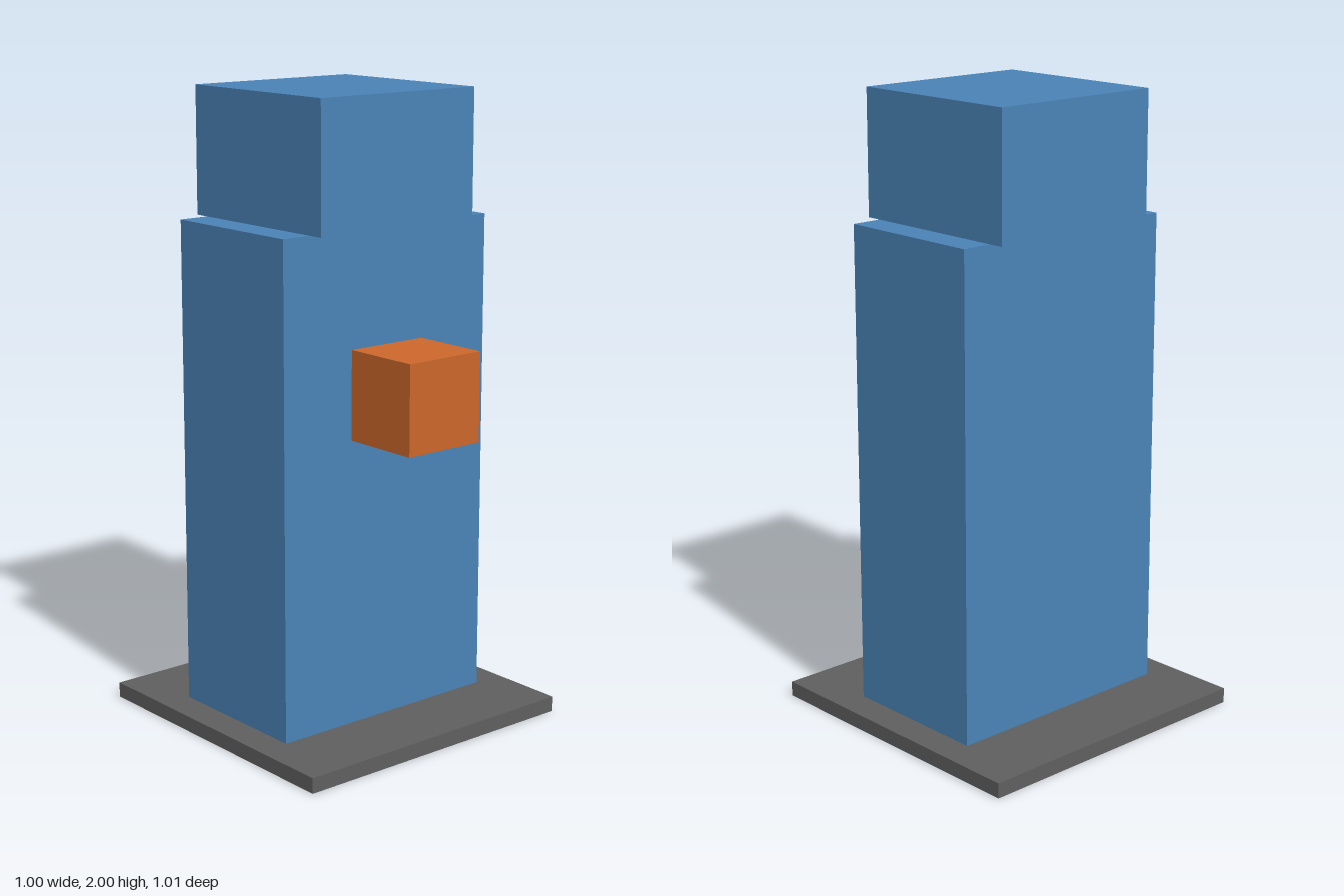
import * as THREE from 'three';

export function createModel() {
  const group = new THREE.Group();
  const material = (name, color) => {
    const m = new THREE.MeshStandardMaterial({ color });
    m.name = name;
    return m;
  };
  const blue = material('blue', 0x4a82b6);
  const orange = material('orange', 0xcb672a);
  const grey = material('grey', 0x5f5f5f);

  // Box given by its size, the height of its underside and its centre in z
  const addBox = (name, mat, [w, h, d], bottom, z) => {
    const mesh = new THREE.Mesh(new THREE.BoxGeometry(w, h, d), mat);
    mesh.name = name;
    mesh.position.set(0, bottom + h / 2, z);
    group.add(mesh);
  };

  // Everything is centred on the base, which sits slightly back
  const z = -0.005;
  // The body runs through the base and shows, just flush, on its underside
  addBox('base', grey, [1, 0.049, 1], 0.001, z);
  addBox('body', blue, [0.8, 1.6, 0.5], 0, z);
  addBox('head', blue, [0.6, 0.4, 0.6], 1.6, z);
  addBox('frontBlock', orange, [0.28, 0.28, 0.28], 0.96, 0.365);

  return group;
}
